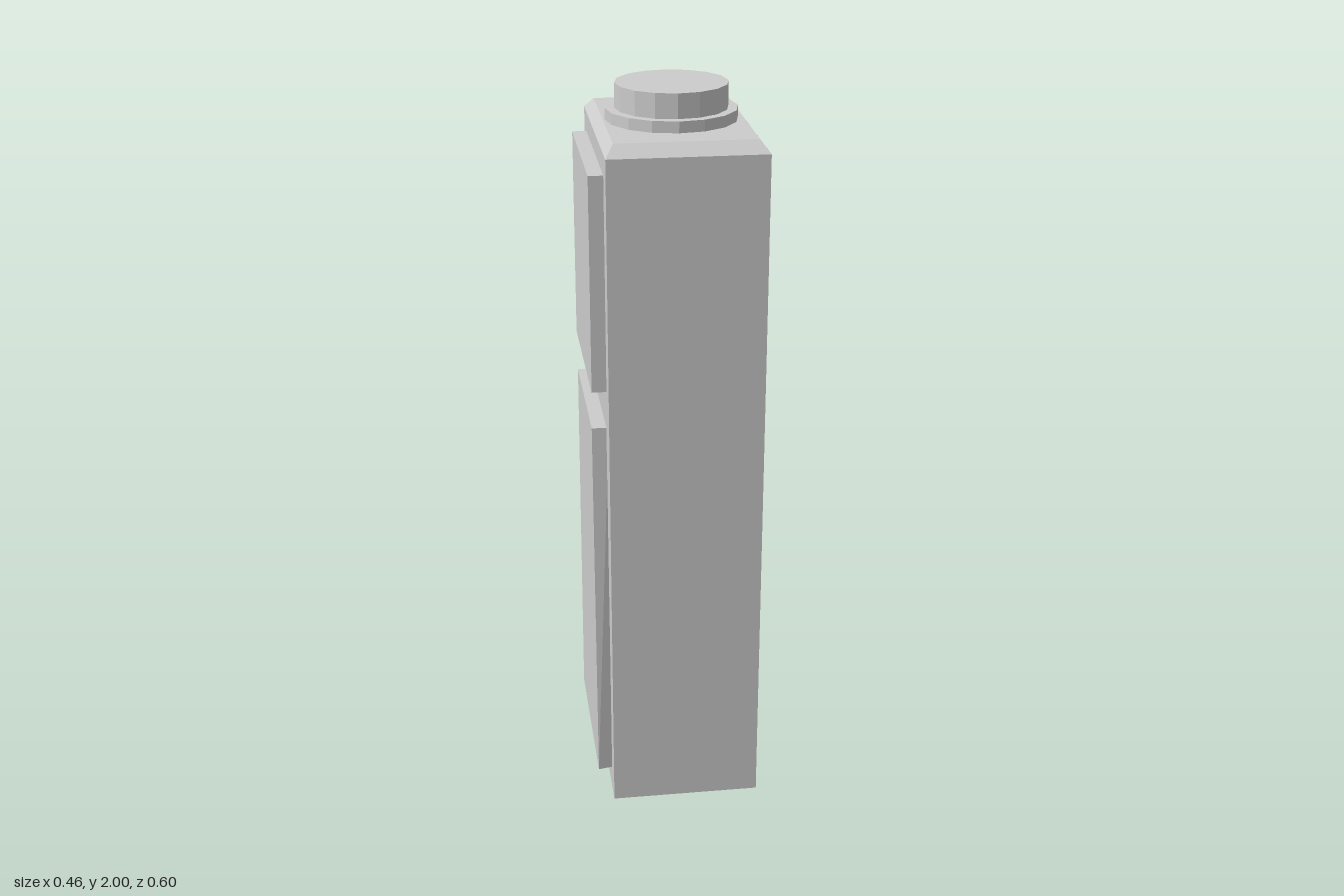
import * as THREE from 'three';

export function createModel() {
  const model = new THREE.Group();
  model.name = 'chimney';
  const grey = new THREE.MeshStandardMaterial({ color: 0xcccccc });
  grey.name = 'plain grey';

  const add = (name, geometry, parent) => {
    const mesh = new THREE.Mesh(geometry, grey);
    mesh.name = name;
    parent.add(mesh);
    return mesh;
  };

  // Box from y0 to y1 whose corners are reshaped by a rule on unit signs (sx, sy, sz)
  const shapedBox = (y0, y1, rule) => {
    const geometry = new THREE.BoxGeometry(2, 2, 2);
    const p = geometry.attributes.position;
    for (let i = 0; i < p.count; i++) {
      const sy = p.getY(i);
      const [x, z] = rule(p.getX(i), sy, p.getZ(i));
      p.setXYZ(i, x, sy > 0 ? y1 : y0, z);
    }
    const flat = geometry.toNonIndexed();
    flat.computeVertexNormals();
    return flat;
  };

  // Body, turned very slightly about the vertical
  const body = new THREE.Group();
  body.name = 'body';
  body.position.set(0.0175, 0, -0.001);
  body.rotation.y = 0.0215;
  model.add(body);

  const W = 0.2065, D = 0.296;
  add('column', shapedBox(0, 1.875, (sx, sy, sz) => [sx * W, sz * D]), body);
  add('bevelledTop', shapedBox(1.875, 1.905, (sx, sy, sz) =>
    sy > 0 ? [sx * 0.1835, sz * 0.2585] : [sx * W, sz * D]), body);

  // Raised side panels; the lower one widens towards its foot
  const inner = -0.2, outer = -0.2455;
  add('upperPanel', shapedBox(1.24, 1.82, (sx, sy, sz) =>
    [sx > 0 ? inner : outer, sz * 0.237]), body);
  add('lowerPanel', shapedBox(0.07, 1.13, (sx, sy, sz) =>
    [sx > 0 ? inner : outer, sz * (sy > 0 ? 0.218 : sx > 0 ? 0.237 : 0.246)]), body);

  // Round collar and cap with sixteen flat sides
  const disc = (name, radius, y0, y1) => {
    const geometry = new THREE.CylinderGeometry(radius, radius, y1 - y0, 16).toNonIndexed();
    geometry.computeVertexNormals();
    add(name, geometry, model).position.set(0.0138, (y0 + y1) / 2, -0.001);
  };
  disc('collar', 0.1745, 1.905, 1.935);
  disc('cap', 0.149, 1.935, 2);

  return model;
}
